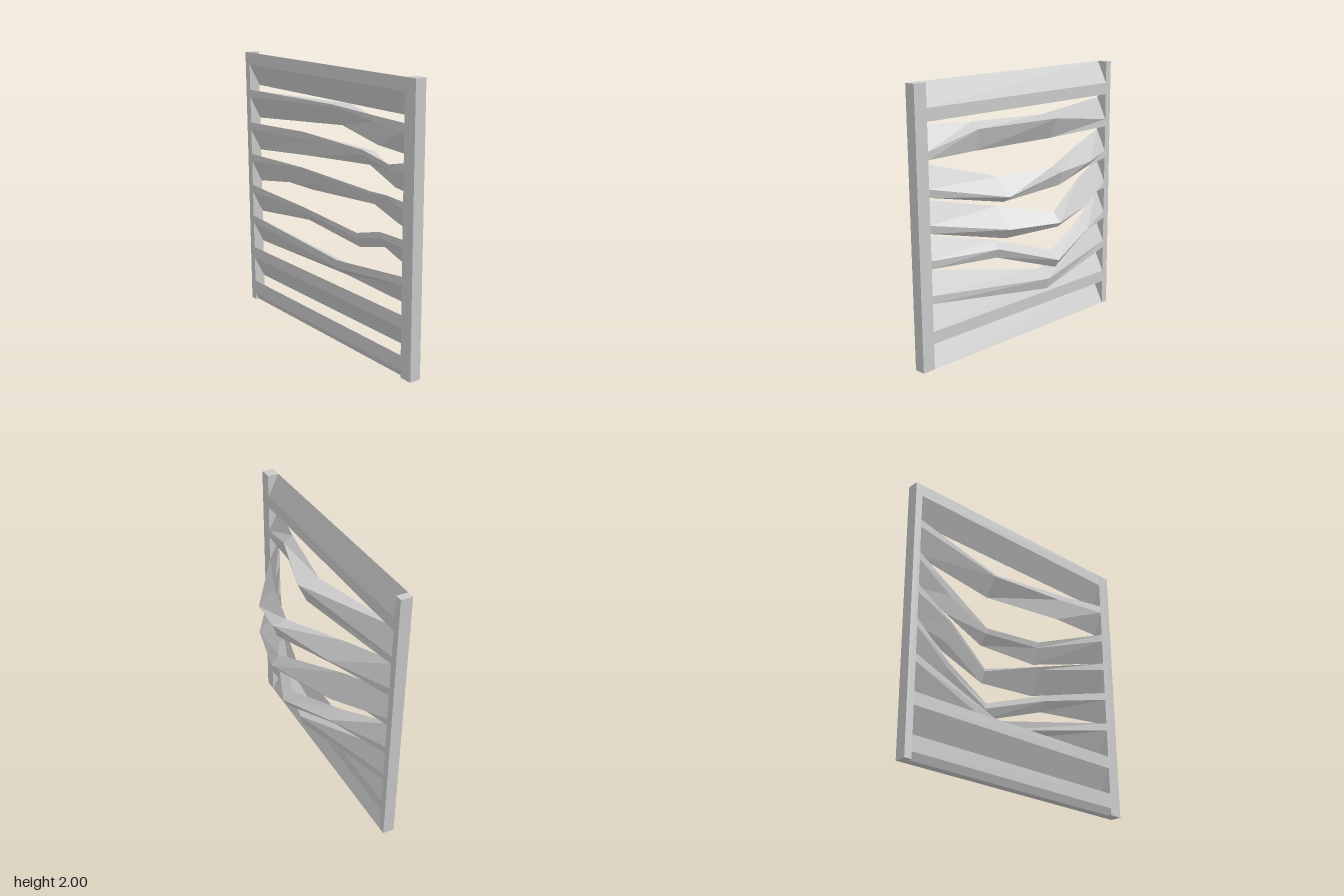
import * as THREE from 'three';

const LEFT = -0.93, RIGHT = 0.885, FRONT = 0.24, BACK = 0.155;

// Loft through cross-sections { x, ring: [[z, y] x 4] }, ring order:
// front top, front bottom, back bottom, back top.
function loft(sections) {
  const pos = [];
  const pts = sections.map(s => s.ring.map(([z, y]) => [s.x, y, z]));
  const quad = (a, b, c, d) => [a, b, c, a, c, d].forEach(p => pos.push(...p));
  for (let k = 0; k < pts.length - 1; k++) {
    const a = pts[k], b = pts[k + 1];
    for (let i = 0; i < 4; i++) {
      const j = (i + 1) % 4;
      quad(a[j], b[j], b[i], a[i]);
    }
  }
  const first = pts[0], last = pts[pts.length - 1];
  quad(last[0], last[1], last[2], last[3]);
  quad(first[3], first[2], first[1], first[0]);
  const g = new THREE.BufferGeometry();
  g.setAttribute('position', new THREE.Float32BufferAttribute(pos, 3));
  g.computeVertexNormals();
  return g;
}

// Slanted louver section: thin front edge, dropping towards the back
const louver = (top, edge, drop) => [
  [FRONT, top], [FRONT, top - edge], [BACK, top - edge - drop], [BACK, top - drop],
];

export function createModel() {
  const group = new THREE.Group();
  const mat = new THREE.MeshStandardMaterial({ color: 0xcccccc, flatShading: true, side: THREE.DoubleSide });
  const add = (geometry, name) => {
    const mesh = new THREE.Mesh(geometry, mat);
    mesh.name = name;
    group.add(mesh);
  };

  // Posts
  for (const [x0, x1, name] of [[-0.985, LEFT, 'rightPost'], [RIGHT, 0.985, 'leftPost']]) {
    const g = new THREE.BoxGeometry(x1 - x0, 2, FRONT - BACK);
    g.translate((x0 + x1) / 2, 1, (FRONT + BACK) / 2);
    add(g, name);
  }

  // Straight slats; the lowest is cut off level with the ground
  const straight = ring => loft([{ x: LEFT, ring }, { x: RIGHT, ring }]);
  add(straight(louver(2, 0.09, 0.165)), 'topSlat');
  add(straight(louver(0.445, 0.09, 0.165)), 'lowerSlat');
  add(straight([[FRONT, 0.16], [FRONT, 0.05], [0.215, 0], [BACK, 0]]), 'bottomSlat');

  // Slats bent backwards: end height and inner sections
  const bent = [
    { top: 1.715, inner: [
      { x: -0.1, ring: [[0.07, 1.69], [0.07, 1.675], [-0.02, 1.53], [-0.09, 1.68]] },
      { x: 0.49, ring: [[0.16, 1.7], [0.16, 1.66], [0.13, 1.5], [0.09, 1.655]] },
    ] },
    { top: 1.46, inner: [
      { x: -0.5, ring: [[0.05, 1.43], [0.04, 1.37], [0, 1.24], [-0.06, 1.3]] },
      { x: 0, ring: [[-0.13, 1.35], [-0.14, 1.31], [-0.2, 1.23], [-0.235, 1.33]] },
      { x: 0.43, ring: [[-0.02, 1.335], [-0.03, 1.29], [-0.08, 1.165], [-0.15, 1.21]] },
    ] },
    { top: 1.21, inner: [
      { x: -0.5, ring: [[0.06, 1.155], [0.055, 1.14], [0.0, 1.02], [-0.04, 0.965]] },
      { x: 0.03, ring: [[-0.18, 1.04], [-0.18, 1.02], [-0.22, 0.935], [-0.24, 0.965]] },
      { x: 0.43, ring: [[0, 1.12], [-0.01, 1.1], [-0.1, 0.91], [-0.15, 0.98]] },
    ] },
    { top: 0.96, inner: [
      { x: -0.5, ring: [[0.05, 0.84], [0.04, 0.8], [0, 0.73], [-0.05, 0.78]] },
      { x: -0.03, ring: [[-0.1, 0.72], [-0.1, 0.68], [-0.14, 0.6], [-0.175, 0.66]] },
      { x: 0.42, ring: [[0.05, 0.865], [0.05, 0.82], [0, 0.745], [-0.02, 0.81]] },
    ] },
    { top: 0.71, inner: [
      { x: -0.06, ring: [[0.06, 0.53], [0.05, 0.465], [-0.03, 0.4], [-0.05, 0.48]] },
    ] },
  ];
  bent.forEach(({ top, inner }, i) => {
    const end = louver(top, 0.057, 0.168);
    add(loft([{ x: LEFT, ring: end }, ...inner, { x: RIGHT, ring: end }]), `bentSlat${i + 1}`);
  });
  return group;
}
